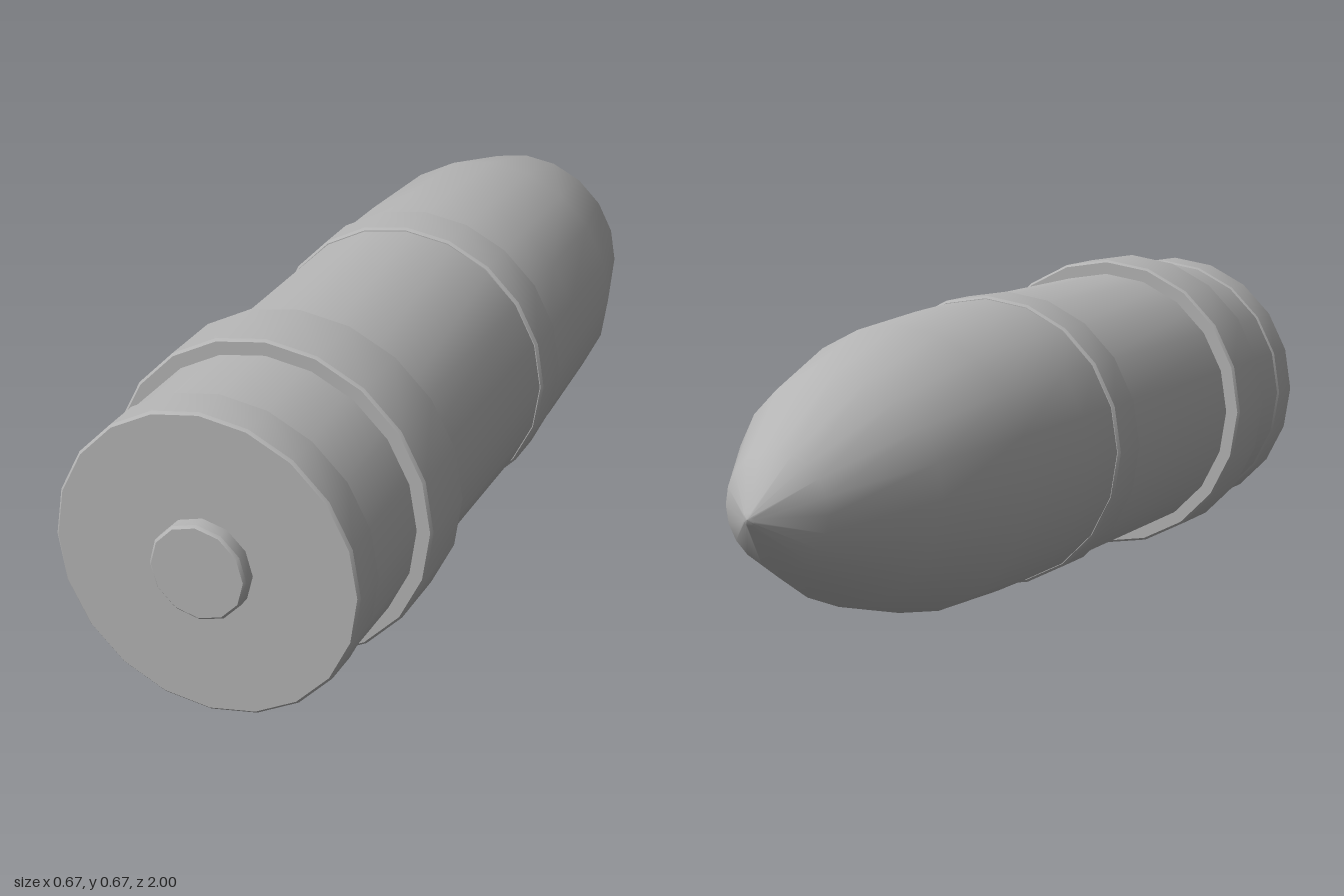
import * as THREE from 'three';
import { toCreasedNormals } from 'three/addons/utils/BufferGeometryUtils.js';

const AXIS_Y = 0.336;

export function createModel() {
  const group = new THREE.Group();
  const steel = new THREE.MeshStandardMaterial({ color: 0xb4b4b4 });
  steel.name = 'grey steel';

  // Turned part along z; profile is [radius, z] from back (-z) to front (+z)
  function turned(name, profile, sides = 20) {
    const points = profile.map(([r, z]) => new THREE.Vector2(r, z));
    const lathe = new THREE.LatheGeometry(points, sides).rotateX(Math.PI / 2);
    const mesh = new THREE.Mesh(toCreasedNormals(lathe, 0.65), steel);
    mesh.name = name;
    mesh.position.y = AXIS_Y;
    group.add(mesh);
  }

  // Closed disc or band with a small chamfer on both edges
  function band(name, radius, back, front, sides = 20, bevel = 0.005) {
    turned(name, [
      [0, back], [radius - bevel, back], [radius, back + bevel],
      [radius, front - bevel], [radius - bevel, front], [0, front],
    ], sides);
  }

  // Pointed nose with a slightly blunted tip
  turned('nose', [
    [0, -1], [0.012, -0.994], [0.11, -0.9], [0.226, -0.685],
    [0.289, -0.45], [0.301, -0.2], [0.304, -0.05],
  ]);

  // Straight casing between nose and base
  turned('casing', [[0.303, -0.06], [0.303, 0.9]]);

  // Raised bands and base
  band('noseRing', 0.31, -0.068, 0.038);
  band('driveBand', 0.335, 0.548, 0.702);
  band('baseRim', 0.307, 0.882, 0.97);
  band('primer', 0.0975, 0.95, 1, 12);

  return group;
}
